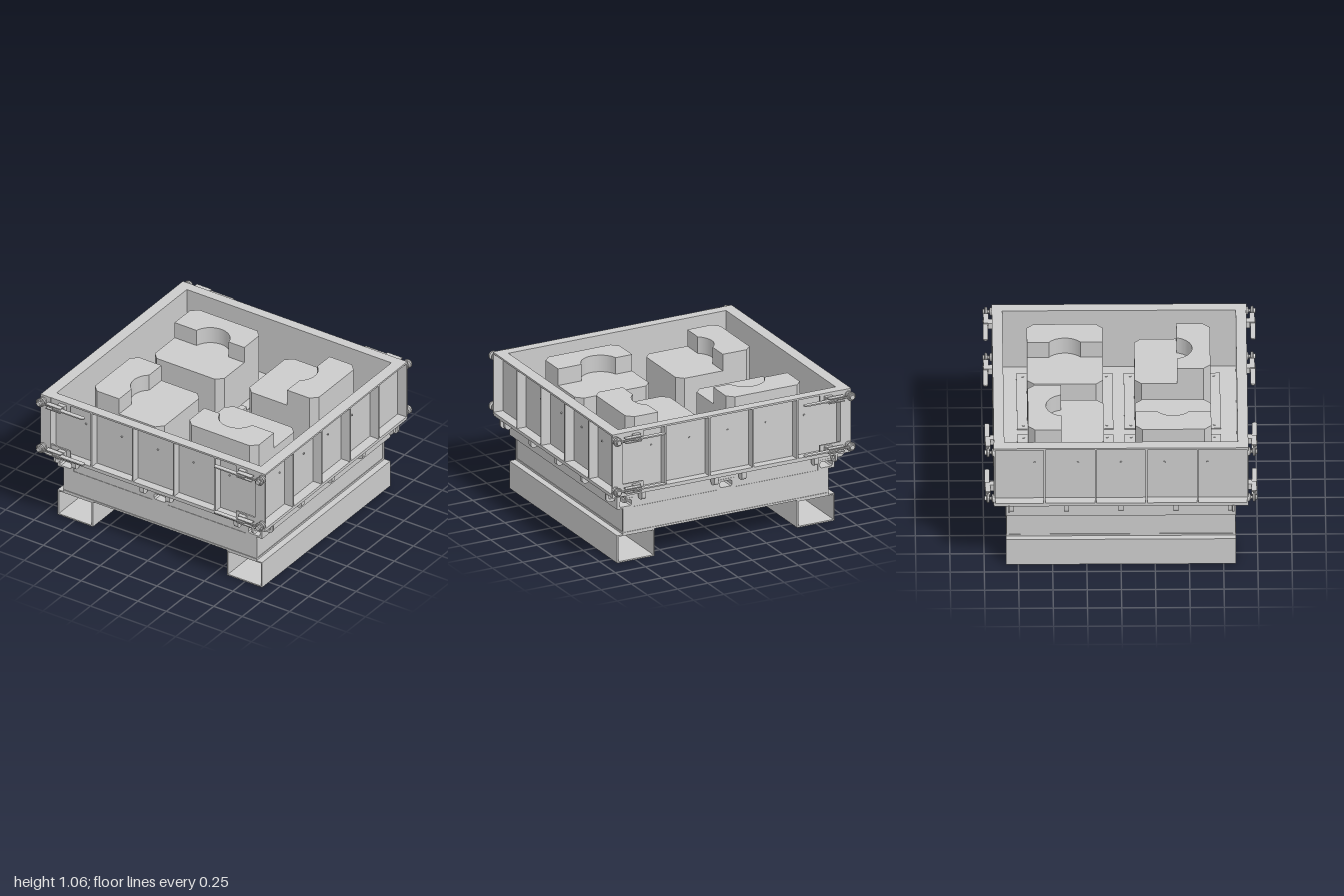
import * as THREE from 'three';

export function createModel() {
  const root = new THREE.Group();
  const mat = new THREE.MeshStandardMaterial({ color: 0xcccccc, flatShading: true });
  const add = (name, geo, x = 0, y = 0, z = 0, parent = root) => {
    const m = new THREE.Mesh(geo, mat);
    m.name = name;
    m.position.set(x, y, z);
    parent.add(m);
    return m;
  };
  // Box given by its limits on each axis
  const box = (name, x0, x1, y0, y1, z0, z1, parent) =>
    add(name, new THREE.BoxGeometry(x1 - x0, y1 - y0, z1 - z0),
      (x0 + x1) / 2, (y0 + y1) / 2, (z0 + z1) / 2, parent);
  const poly = (pts, C = THREE.Shape) => new C(pts.map(p => new THREE.Vector2(...p)));
  const rect = (x0, x1, y0, y1, C) => poly([[x0, y0], [x1, y0], [x1, y1], [x0, y1]], C);
  const extrude = (shape, depth) =>
    new THREE.ExtrudeGeometry(shape, { depth, bevelEnabled: false, curveSegments: 20 });
  const octagon = (u0, u1, v0, v1, c, C) => poly([[u0 + c, v0], [u1 - c, v0], [u1, v0 + c], [u1, v1 - c],
    [u1 - c, v1], [u0 + c, v1], [u0, v1 - c], [u0, v0 + c]], C);
  // Shape lying flat: shape y becomes -z, depth goes up
  const flat = (name, shape, y, depth, parent) => {
    const m = add(name, extrude(shape, depth), 0, y, 0, parent);
    m.rotation.x = -Math.PI / 2;
    return m;
  };
  const signs = [-1, 1];

  // Fork pockets: open rectangular tubes along z
  for (const s of signs) {
    const tube = rect(-0.155, 0.155, 0, 0.215);
    tube.holes.push(rect(-0.145, 0.145, 0.01, 0.205, THREE.Path));
    add('forkPocket', extrude(tube, 1.68), s * 0.745, 0, -0.84);
  }

  // Lower frame: channels around the edge and cross beams
  for (const s of signs) {
    const z = s * 0.835, x = s * 0.845;
    box('frameWeb', -0.85, 0.85, 0.215, 0.42, Math.min(z, z - s * 0.015), Math.max(z, z - s * 0.015));
    box('frameWeb', Math.min(x, x - s * 0.015), Math.max(x, x - s * 0.015), 0.215, 0.42, -0.83, 0.83);
    for (const y of [0.215, 0.405]) {
      box('frameFlange', -0.85, 0.85, y, y + 0.015, s * 0.8 - 0.04, s * 0.8 + 0.04);
      box('frameFlange', s * 0.81 - 0.04, s * 0.81 + 0.04, y, y + 0.015, -0.83, 0.83);
    }
    box('crossBeam', -0.84, 0.84, 0.215, 0.42, s * 0.045 - 0.01, s * 0.045 + 0.01);
  }
  for (const y of [0.215, 0.405]) box('crossBeamFlange', -0.84, 0.84, y, y + 0.015, -0.05, 0.05);

  // Slotted tubes under the table, with beams between and above them
  for (const x of [-0.83, 0, 0.83]) {
    const tube = rect(-0.07, 0.07, 0.42, 0.495);
    tube.holes.push(octagon(-0.05, 0.05, 0.433, 0.48, 0.01, THREE.Path));
    add('tableTube', extrude(tube, 1.68), x, 0, -0.84);
  }
  for (const z of [-0.825, -0.05, 0.05, 0.825]) {
    box('upperBeam', -0.9, 0.9, 0.495, 0.56, z - 0.012, z + 0.012);
    for (const s of signs)
      box('upperBeamWeb', s * 0.415 - 0.345, s * 0.415 + 0.345, 0.42, 0.495, z - 0.012, z + 0.012);
  }
  for (const s of signs) box('sideBeam', s * 0.89 - 0.01, s * 0.89 + 0.01, 0.495, 0.56, -0.84, 0.84);

  // Four stepped cores; each is drawn with its raised half towards +v and then turned
  const cores = [
    { x: -0.39, z: -0.4, turn: 0 }, { x: 0.386, z: -0.4, turn: -1 },
    { x: -0.39, z: 0.385, turn: 1 }, { x: 0.386, z: 0.385, turn: 2 }];
  const table = rect(-0.985, 0.985, -0.93, 0.93);
  for (const c of cores) {
    const sideways = c.turn % 2 !== 0;
    const [u0, u1, v0, v1] = sideways ? [-0.277, 0.277, -0.278, 0.335] : [-0.335, 0.278, -0.277, 0.277];
    const off = sideways ? 0.088 : 0.032, R = 0.145, ch = 0.05, t = 0.012;
    const g = new THREE.Group();
    g.name = 'core';
    g.position.set(c.x, 0, c.z);
    g.rotation.y = c.turn * Math.PI / 2;
    root.add(g);
    const skirt = octagon(u0, u1, v0, v1, ch);
    skirt.holes.push(octagon(u0 + t, u1 - t, v0 + t, v1 - t, ch, THREE.Path));
    flat('coreSkirt', skirt, 0.56, 0.35, g);
    flat('coreLowTop', octagon(u0, u1, v0, v1, ch), 0.91, 0.012, g);
    const a = Math.asin(off / R), e = R * Math.cos(a);
    const high = poly([[e, off], [u1, off], [u1, v1 - ch], [u1 - ch, v1], [u0 + ch, v1], [u0, v1 - ch], [u0, off], [-e, off]]);
    high.absarc(0, 0, R, Math.PI - a, a, true);
    flat('coreHighPart', high, 0.922, 0.13, g);

    // Mounting plate around the core, with a screw in each corner
    const mx = Math.sign(c.x) * 0.418, mz = c.z;
    const plate = rect(mx - 0.38, mx + 0.38, -mz - 0.352, -mz + 0.352);
    plate.holes.push(rect(mx - 0.295, mx + 0.295, -mz - 0.265, -mz + 0.265, THREE.Path));
    flat('corePlate', plate, 0.57, 0.008);
    table.holes.push(rect(mx - 0.29, mx + 0.29, -mz - 0.26, -mz + 0.26, THREE.Path));
    for (const sx of signs) for (const sz of signs)
      add('plateScrew', new THREE.CylinderGeometry(0.009, 0.009, 0.006, 10), mx + sx * 0.335, 0.58, mz + sz * 0.305);
  }
  flat('tablePlate', table, 0.556, 0.014);
  for (const [x, z] of [[0.055, -0.47], [-0.06, -0.32], [0.055, 0.31], [-0.06, 0.46]])
    box('stopBlock', x - 0.025, x + 0.025, 0.57, 0.61, z - 0.03, z + 0.03);

  // Side walls: a panel stiffened by outer flanges and ribs.
  // Local frame: wall along x, outside towards +z.
  const wall = (name, inner, outer, half, ribs, bolts, turn) => {
    const g = new THREE.Group();
    g.name = name;
    g.rotation.y = turn * Math.PI / 2;
    root.add(g);
    box('panel', -half, half, 0.57, 1.055, inner, inner + 0.012, g);
    for (const y of [0.57, 1.042]) box('flange', -half, half, y, y + 0.014, inner, outer, g);
    for (const x of ribs) for (const s of signs)
      box('rib', s * x - 0.006, s * x + 0.006, 0.57, 1.05, inner, outer, g);
    for (const x of bolts) {
      const b = add('bolt', new THREE.CylinderGeometry(0.007, 0.007, 0.02, 8), x, 0.89, inner + 0.01, g);
      b.rotation.x = Math.PI / 2;
    }
    return g;
  };
  const bolts = [-0.632, -0.316, 0, 0.316, 0.632];
  for (const t of [0, 2]) {
    const g = wall('longWall', 0.853, 0.93, 0.9, [0.545, 0.18], bolts, t);
    for (const s of signs) for (const y of [0.57, 0.975])
      box('latchPad', s * 0.815 - 0.085, s * 0.815 + 0.085, y, y + 0.08, 0.915, 0.928, g);
  }
  for (const t of [1, 3]) wall('endWall', 0.9, 0.988, 0.932, [0.925, 0.56, 0.185], bolts, t);

  // Corner latches: eye bolt, clamp body and blade handle
  for (const sx of signs) for (const sz of signs) for (const y of [0.615, 1.01]) {
    const g = new THREE.Group();
    g.name = 'latch';
    g.position.set(sx * 0.965, y, sz * 0.93);
    g.scale.set(sx, 1, sz);
    root.add(g);
    const spool = [[0, 0], [0.03, 0], [0.03, 0.012], [0.012, 0.018], [0.012, 0.03], [0.033, 0.034],
      [0.033, 0.048], [0.018, 0.054], [0.018, 0.068], [0, 0.068]].map(p => new THREE.Vector2(...p));
    add('eyeSpool', new THREE.LatheGeometry(spool, 20), 0, 0, 0, g).rotation.x = Math.PI / 2;
    add('eyeRing', new THREE.TorusGeometry(0.027, 0.008, 8, 20), 0, 0, 0.045, g);
    add('rod', new THREE.CylinderGeometry(0.008, 0.008, 0.12, 10), -0.085, 0, 0.045, g).rotation.z = Math.PI / 2;
    box('clampFoot', -0.2, -0.14, -0.024, 0.024, -0.005, 0.028, g);
    for (const s of signs) box('clampCheek', -0.19, -0.06, s * 0.016 - 0.004, s * 0.016 + 0.004, 0.024, 0.062, g);
    box('handle', -0.375, -0.12, -0.005, 0.005, 0.03, 0.066, g);
    add('handleTip', new THREE.CylinderGeometry(0.018, 0.018, 0.01, 14), -0.375, 0, 0.048, g);
  }

  // Lifting ears under the table corners, one in each direction
  const ear = poly([[-0.05, 0.07], [-0.05, 0.04], [-0.035, 0]]);
  ear.lineTo(0, 0);
  ear.absarc(0, 0.035, 0.035, -Math.PI / 2, 0, false);
  ear.lineTo(0.035, 0.07);
  ear.holes.push(new THREE.Path().absarc(0, 0.035, 0.013, 0, Math.PI * 2, true));
  const earGeo = extrude(ear, 0.016).translate(0, 0, -0.008);
  for (const sx of signs) for (const sz of signs) {
    add('frontEar', earGeo, sx * 0.952, 0.488, sz * 0.82).rotation.y = sx > 0 ? 0 : Math.PI;
    add('sideEar', earGeo, sx * 0.87, 0.488, sz * 0.89).rotation.y = sz > 0 ? -Math.PI / 2 : Math.PI / 2;
  }

  // Rounded clips hanging below the edge of the table
  const clip = poly([[-0.03, 0.07], [-0.03, 0.025]]);
  clip.absarc(0, 0.025, 0.03, Math.PI, Math.PI * 2, false);
  clip.lineTo(0.03, 0.07);
  const clipGeo = extrude(clip, 0.036).translate(0, 0, -0.018);
  for (const s of signs) {
    for (const x of [-0.715, -0.115, 0.115, 0.715])
      add('clip', clipGeo, x, 0.49, s * 0.88).rotation.y = Math.PI / 2;
    for (const z of [-0.8, -0.4, 0, 0.4, 0.8]) add('clip', clipGeo, s * 0.935, 0.49, z);
  }
  return root;
}
